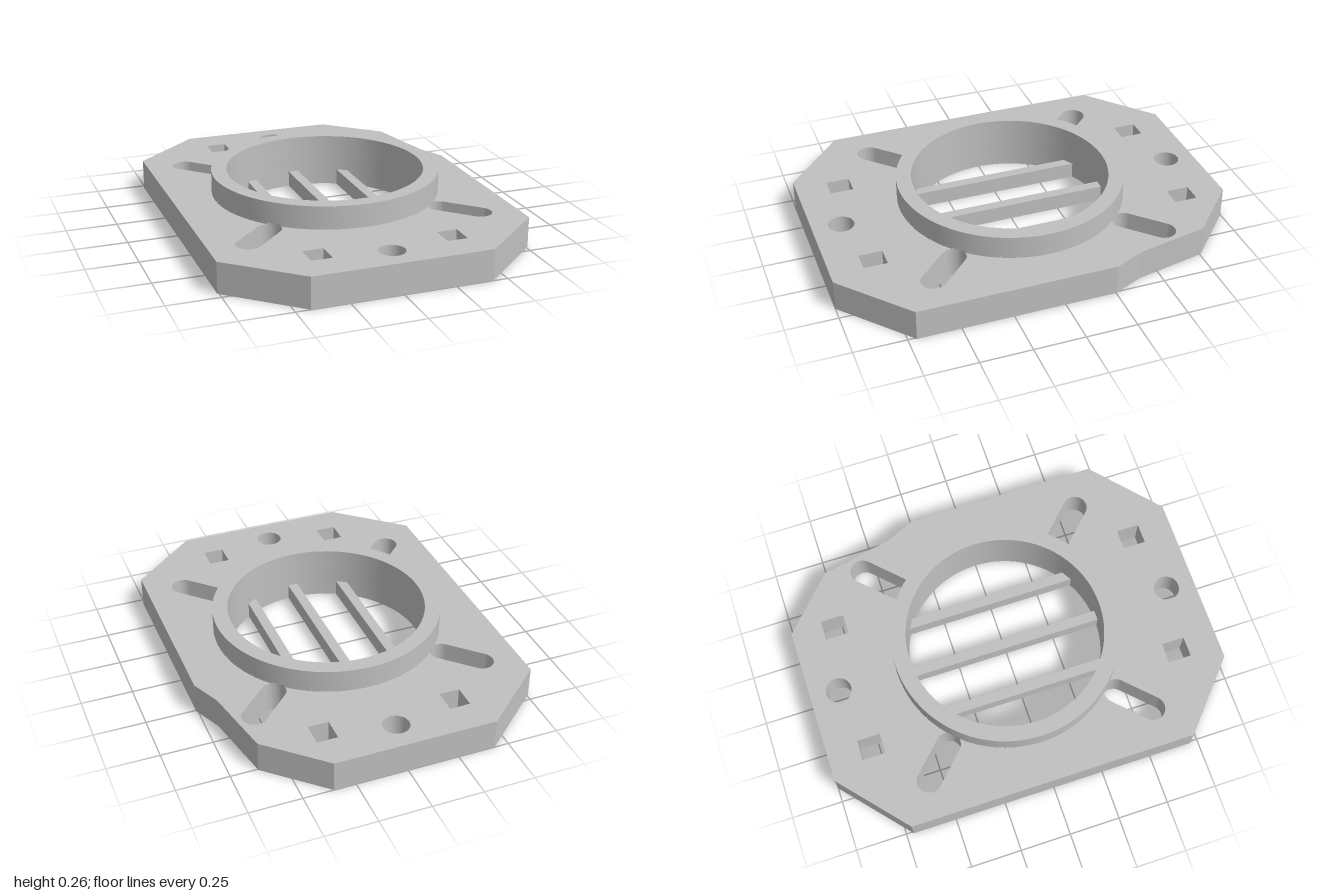
import * as THREE from 'three';
import { toCreasedNormals } from 'three/addons/utils/BufferGeometryUtils.js';

const PLATE_H = 0.152, RING_TOP = 0.265, NOTCH_TOP = 0.16;
const RING_R = 0.56, HOLE_R = 0.485;
const SLOT_IN = 0.43, SLOT_OUT = 0.57, SLOT_R = 0.06;

// Shapes are drawn in plan as (x, -z), then raised from y0 to y1.
function raise(shape, y0, y1) {
  const geo = new THREE.ExtrudeGeometry(shape, { depth: y1 - y0, bevelEnabled: false, curveSegments: 40 });
  geo.rotateX(-Math.PI / 2).translate(0, y0, 0);
  return toCreasedNormals(geo, 0.19);
}

const polygon = (pts) => new THREE.Shape(pts.map(([x, z]) => new THREE.Vector2(x, -z)));
const circle = (x, z, r) => new THREE.Path().absarc(x, -z, r, 0, Math.PI * 2, false);

function rectangle(x, z, w, d) {
  return new THREE.Path([[-1, -1], [1, -1], [1, 1], [-1, 1]].map(
    ([a, b]) => new THREE.Vector2(x + a * w / 2, -z + b * d / 2)));
}

// Diagonal round-ended slot pointing outward at the given angle
function slot(angle) {
  const c = Math.cos(angle) * Math.SQRT2, s = Math.sin(angle) * Math.SQRT2;
  const path = new THREE.Path();
  path.absarc(c * SLOT_OUT, s * SLOT_OUT, SLOT_R, angle - Math.PI / 2, angle + Math.PI / 2, false);
  path.absarc(c * SLOT_IN, s * SLOT_IN, SLOT_R, angle + Math.PI / 2, angle + Math.PI * 1.5, false);
  path.closePath();
  return path;
}

// Base of the collar, nicked where the slot tips reach under it
function notchedDisc() {
  const pts = [], n = 720, c = SLOT_IN * Math.SQRT2;
  for (let i = 0; i < n; i++) {
    const a = (i / n) * Math.PI * 2;
    const off = (a % (Math.PI / 2)) - Math.PI / 4;
    const q = SLOT_R ** 2 - (c * Math.sin(off)) ** 2;
    const r = q > 0 ? Math.min(RING_R, c * Math.cos(off) - Math.sqrt(q)) : RING_R;
    pts.push(new THREE.Vector2(r * Math.cos(a), r * Math.sin(a)));
  }
  return new THREE.Shape(pts);
}

export function createModel() {
  const group = new THREE.Group();
  const grey = new THREE.MeshStandardMaterial({ color: 0xc0c0c0 });
  grey.name = 'light grey';
  const add = (name, geo) => {
    const mesh = new THREE.Mesh(geo, grey);
    mesh.name = name;
    group.add(mesh);
  };

  // Mounting plate with clipped corners and one relieved edge
  const plate = polygon([
    [-0.43, 1], [0.43, 1], [0.758, 0.71], [0.758, -0.254], [0.693, -0.4],
    [0.62, -0.755], [0.355, -1], [-0.43, -1], [-0.758, -0.715], [-0.758, 0.71],
  ]);
  plate.holes.push(circle(0, 0, HOLE_R));
  for (const side of [-1, 1]) {
    plate.holes.push(circle(0, side * 0.857, 0.063));
    for (const x of [-0.324, 0.324]) plate.holes.push(rectangle(x, side * 0.786, 0.1, 0.114));
  }
  for (let i = 0; i < 4; i++) plate.holes.push(slot(Math.PI / 4 + i * Math.PI / 2));
  add('mountingPlate', raise(plate, 0, PLATE_H));

  // Raised collar around the central opening
  const collarBase = notchedDisc();
  collarBase.holes.push(circle(0, 0, HOLE_R));
  add('collarBase', raise(collarBase, PLATE_H, NOTCH_TOP));
  const collar = new THREE.Shape().absarc(0, 0, RING_R, 0, Math.PI * 2, false);
  collar.holes.push(circle(0, 0, HOLE_R));
  add('collar', raise(collar, NOTCH_TOP, RING_TOP));

  // Grille bars across the opening, ends meeting its wall
  for (const x of [-0.25, 0, 0.25]) {
    const a = x - 0.025, b = x + 0.025;
    const za = Math.sqrt(HOLE_R ** 2 - a * a), zb = Math.sqrt(HOLE_R ** 2 - b * b);
    add('grilleBar', raise(polygon([[a, za], [b, zb], [b, -zb], [a, -za]]), 0, 0.08));
  }
  return group;
}
